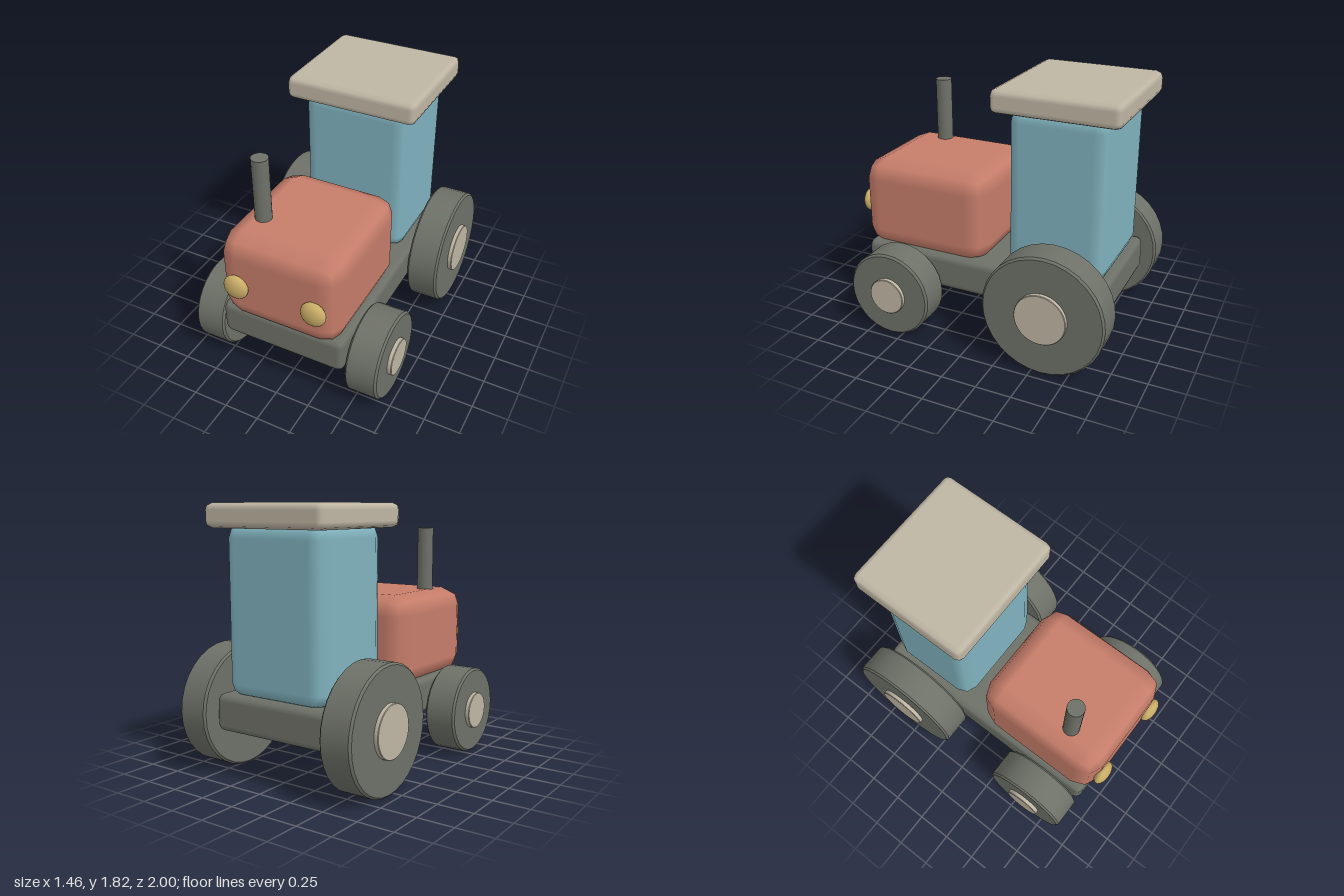
import * as THREE from 'three';
import { RoundedBoxGeometry } from 'three/addons/geometries/RoundedBoxGeometry.js';
import { toCreasedNormals } from 'three/addons/utils/BufferGeometryUtils.js';

const paint = (name, color) => {
  const m = new THREE.MeshStandardMaterial({ color });
  m.name = name;
  return m;
};

export function createModel() {
  const tractor = new THREE.Group();
  tractor.name = 'tractor';

  const red = paint('red', 0xc67d6a);
  const blue = paint('blue', 0x80b2be);
  const cream = paint('cream', 0xbfb6a4);
  const grey = paint('grey', 0x6e7168);
  const gold = paint('gold', 0xc9ad68);

  const add = (name, geometry, material, x, y, z, parent = tractor) => {
    const mesh = new THREE.Mesh(geometry, material);
    mesh.name = name;
    mesh.position.set(x, y, z);
    parent.add(mesh);
    return mesh;
  };

  // Soft box between y0..y1 and z0..z1; the coarse rounding shrinks it, so pad to keep the size
  const softBox = (name, material, halfWidth, y0, y1, z0, z1, r) => {
    const pad = 0.19 * r;
    const g = new RoundedBoxGeometry(halfWidth * 2 + pad, y1 - y0 + pad, z1 - z0 + pad, 1, r);
    add(name, g, material, 0, (y0 + y1) / 2, (z0 + z1) / 2);
  };

  // Body
  softBox('chassis', grey, 0.455, 0.32, 0.57, -0.9, 0.895, 0.05);
  softBox('hood', red, 0.425, 0.54, 1.17, -0.01, 0.925, 0.14);
  softBox('cab', blue, 0.385, 0.56, 1.69, -0.86, -0.185, 0.1);
  softBox('roof', cream, 0.47, 1.667, 1.82, -0.955, -0.095, 0.045);

  // Bevelled disc turned about the x axis
  const disc = (radius, width, bevel) => {
    const h = width / 2;
    const profile = [
      [0, -h], [radius - bevel, -h], [radius, -h + bevel],
      [radius, h - bevel], [radius - bevel, h], [0, h],
    ].map(([a, b]) => new THREE.Vector2(a, b));
    const g = new THREE.LatheGeometry(profile, 32);
    g.rotateZ(-Math.PI / 2);
    return toCreasedNormals(g, 0.5);
  };

  // Wheels with hubs standing proud on the outer side
  const axles = [
    { name: 'rear', radius: 0.428, hub: 0.18, z: -0.572 },
    { name: 'front', radius: 0.31, hub: 0.131, z: 0.585 },
  ];
  for (const { name, radius, hub, z } of axles) {
    for (const [side, s] of [['Left', 1], ['Right', -1]]) {
      const wheel = new THREE.Group();
      wheel.name = name + side + 'Wheel';
      wheel.position.set(s * 0.585, radius + 0.003, z);
      add('tyre', disc(radius, 0.23, 0.014), grey, 0, 0, 0, wheel);
      add('hub', disc(hub, 0.09, 0.004), cream, s * 0.1, 0, 0, wheel);
      tractor.add(wheel);
    }
  }

  // Exhaust pipe
  const pipe = new THREE.CylinderGeometry(0.058, 0.058, 0.54, 20);
  add('exhaustPipe', pipe, grey, -0.25, 1.37, 0.627);

  // Headlights
  for (const [side, s] of [['left', 1], ['right', -1]]) {
    const lamp = new THREE.SphereGeometry(0.09, 20, 14).scale(1, 1, 0.52);
    add(side + 'Headlight', lamp, gold, s * 0.285, 0.825, 0.953);
  }

  return tractor;
}
